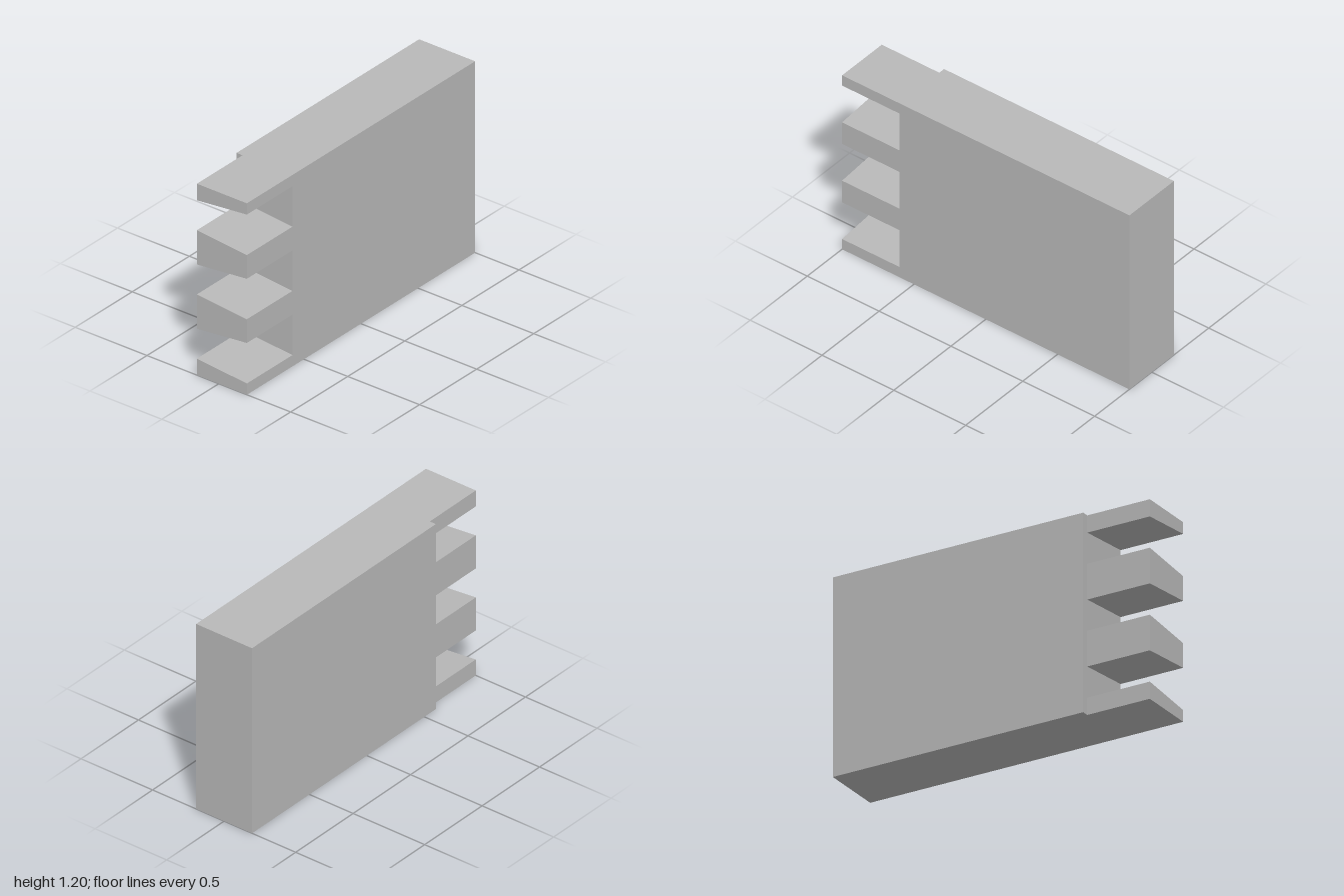
import * as THREE from 'three';

const RIGHT = -0.195, LEFT = 0.195, SHOULDER = -0.153;
const HEIGHT = 1.2, BACK = -1, JOINT = 0.6, FRONT = 1;

// Gaps between the tails: evenly pitched, narrow at the shoulder side
const PITCH = 0.4025, GAP_NARROW = 0.094, GAP_WIDE = 0.127;

export function createModel() {
  const model = new THREE.Group();
  model.name = 'dovetailBoard';
  const grey = new THREE.MeshStandardMaterial({ color: 0xb8b8b8 });
  grey.name = 'grey';

  // Solid board
  const board = new THREE.Mesh(
    new THREE.BoxGeometry(LEFT - RIGHT, HEIGHT, JOINT - BACK), grey);
  board.name = 'board';
  board.position.set(0, HEIGHT / 2, (BACK + JOINT) / 2);
  model.add(board);

  // Tails: two whole ones between half tails at the bottom and top
  const gaps = [-1, 0, 1].map((i) => HEIGHT / 2 + i * PITCH);
  for (let i = 0; i <= gaps.length; i++) {
    const first = i === 0, last = i === gaps.length;
    const bottom = (half) => (first ? 0 : gaps[i - 1] + half);
    const top = (half) => (last ? HEIGHT : gaps[i] - half);
    const shape = new THREE.Shape([
      new THREE.Vector2(SHOULDER, bottom(GAP_NARROW)),
      new THREE.Vector2(LEFT, bottom(GAP_WIDE)),
      new THREE.Vector2(LEFT, top(GAP_WIDE)),
      new THREE.Vector2(SHOULDER, top(GAP_NARROW)),
    ]);
    const tail = new THREE.Mesh(
      new THREE.ExtrudeGeometry(shape, { depth: FRONT - JOINT, bevelEnabled: false }), grey);
    tail.name = first || last ? 'halfTail' : 'tail';
    tail.position.z = JOINT;
    model.add(tail);
  }
  return model;
}
